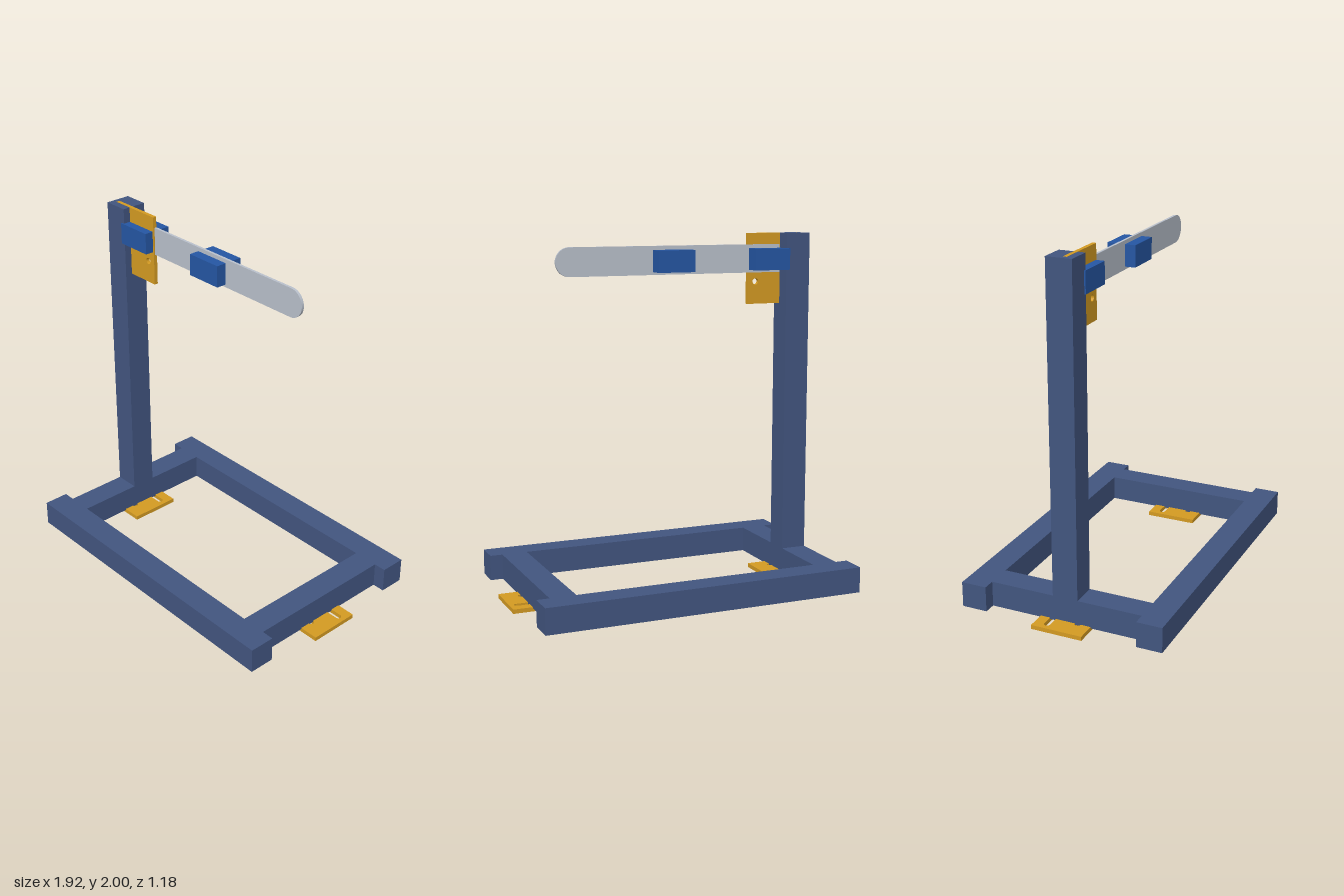
import * as THREE from 'three';

const mat = (color) => new THREE.MeshStandardMaterial({ color });
const navy = mat(0x42557f), gold = mat(0xd39a22), blue = mat(0x2556a3), steel = mat(0xb9c0cb);

// Box given by its min and max along each axis
function box(name, material, [x0, x1], [y0, y1], [z0, z1]) {
  const mesh = new THREE.Mesh(new THREE.BoxGeometry(x1 - x0, y1 - y0, z1 - z0), material);
  mesh.position.set((x0 + x1) / 2, (y0 + y1) / 2, (z0 + z1) / 2);
  mesh.name = name;
  return mesh;
}

function rect(x0, x1, y0, y1) {
  return new THREE.Shape([[x0, y0], [x1, y0], [x1, y1], [x0, y1]].map((p) => new THREE.Vector2(...p)));
}

// Slot with round ends; a zero-length slot is a round hole
function slot(x, y, length, r) {
  const path = new THREE.Path();
  path.absarc(x + length / 2, y, r, -Math.PI / 2, Math.PI / 2);
  path.absarc(x - length / 2, y, r, Math.PI / 2, Math.PI * 1.5);
  path.closePath();
  return path;
}

function plate(name, material, shape, depth) {
  const geo = new THREE.ExtrudeGeometry(shape, { depth, bevelEnabled: false, curveSegments: 20 });
  const mesh = new THREE.Mesh(geo, material);
  mesh.name = name;
  return mesh;
}

export function createModel() {
  const model = new THREE.Group();
  model.name = 'bladeStand';
  const beamY = [0.016, 0.161];

  // Base frame: long rails front and back, cross members between them
  for (const [side, s] of [['front', 1], ['back', -1]]) {
    const z = [0.443 * s, 0.589 * s].sort((a, b) => a - b);
    model.add(box(side + 'Rail', navy, [-0.92, 0.92], beamY, z));
  }
  for (const [side, s] of [['left', 1], ['right', -1]]) {
    const x = [0.703 * s, 0.849 * s].sort((a, b) => a - b);
    model.add(box(side + 'CrossMember', navy, x, beamY, [-0.443, 0.443]));

    // Mounting foot with two slots at the back and two holes at the front
    const shape = rect(-0.184, 0.184, -0.148, 0.148);
    for (const k of [-1, 1]) {
      shape.holes.push(slot(k * 0.1, 0.075, 0.08, 0.017), slot(k * 0.075, -0.072, 0, 0.017));
    }
    const foot = plate(side + 'FootPlate', gold, shape, 0.024);
    foot.rotation.x = -Math.PI / 2;
    foot.position.x = 0.775 * s;
    model.add(foot);
  }

  // Upright post
  model.add(box('post', navy, [-0.849, -0.703], [0.161, 2], [-0.073, 0.073]));

  // Pivot plate let into the top of the post
  const pivot = rect(-0.82, -0.498, 1.6, 2.0005);
  pivot.holes.push(slot(-0.548, 1.727, 0, 0.018));
  const pivotPlate = plate('pivotPlate', gold, pivot, 0.022);
  pivotPlate.position.z = 0.009;
  model.add(pivotPlate);

  // Round-ended blade
  const outline = new THREE.Shape();
  outline.moveTo(-0.7, 1.778);
  outline.lineTo(0.564, 1.778);
  outline.absarc(0.564, 1.8575, 0.0795, -Math.PI / 2, Math.PI / 2);
  outline.lineTo(-0.7, 1.937);
  outline.closePath();
  const blade = plate('blade', steel, outline, 0.015);
  blade.position.z = 0.007;
  model.add(blade);

  // Clamp blocks straddling the blade
  for (const [name, x] of [['postClamp', -0.613], ['middleClamp', -0.025]]) {
    model.add(box(name, blue, [x - 0.108, x + 0.108], [1.794, 1.915], [-0.082, 0.081]));
  }
  return model;
}
